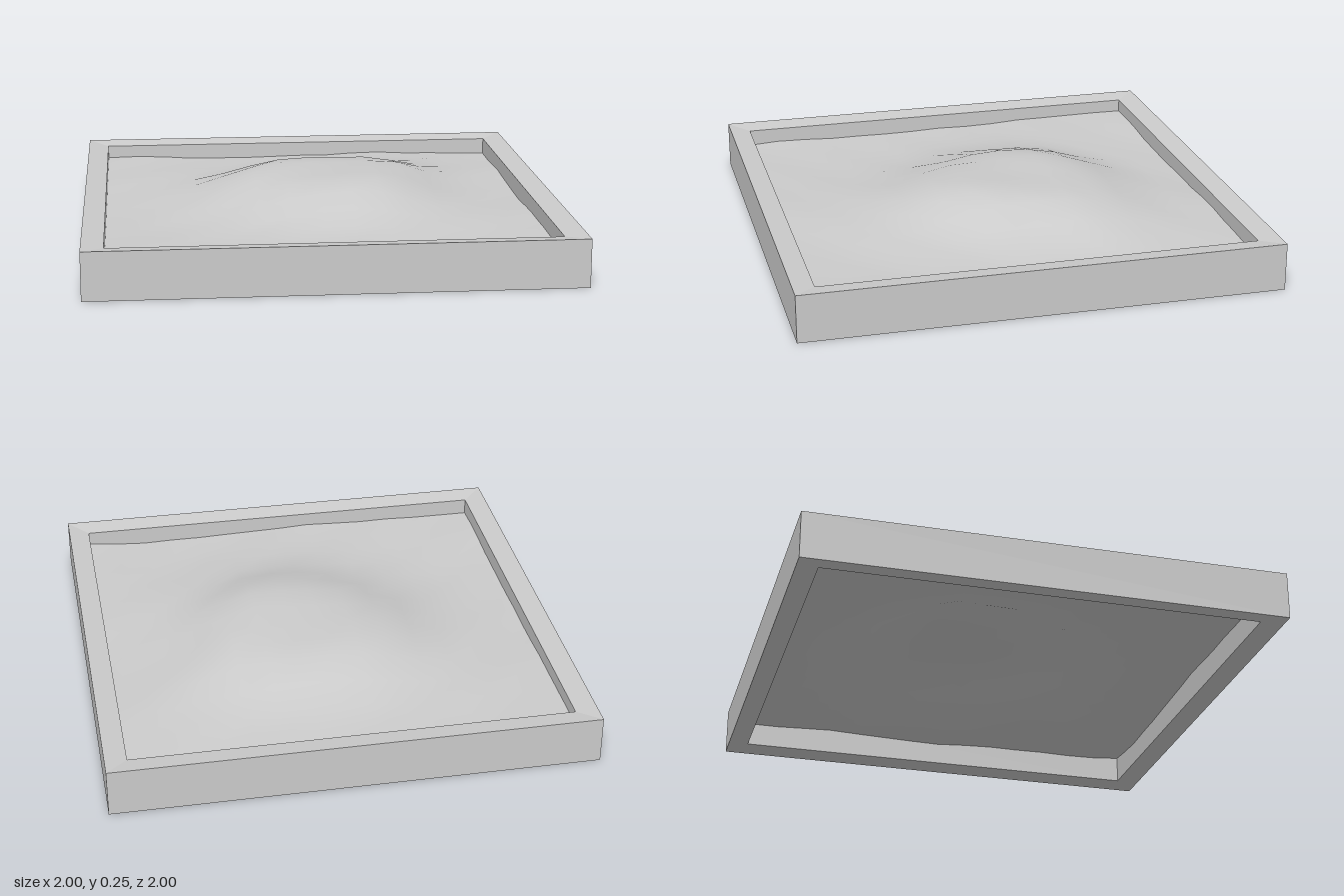
import * as THREE from 'three';

const INNER = 0.91;
const { smoothstep } = THREE.MathUtils;

// Soft heaps and hollows on the sand: x, z, radius, height
const HEAPS = [
  [0.27, 0.12, 0.24, 0.022],
  [-0.14, -0.36, 0.25, 0.012],
  [0.4, -0.3, 0.18, 0.014],
  [0.62, -0.42, 0.25, 0.014],
  [-0.75, -0.65, 0.3, 0.012],
  [-0.72, -0.2, 0.25, -0.01],
  [-0.95, -0.95, 0.2, 0.015],
  [0.95, 0.95, 0.2, 0.012],
];

// Height of the sand: small ripples plus one broad, uneven mound with heaps
function sandHeight(x, z) {
  const dx = (x - 0.06) / 0.41, dz = (z + 0.1) / 0.425;
  const r = Math.hypot(dx, dz) * (1 + 0.05 * Math.sin(3 * Math.atan2(dz, dx) + 0.5));
  const mound = 1 - 0.6 * smoothstep(r, 0.6, 1.5) - 0.4 * smoothstep(r, 0.6, 2.3);
  const ripples = 0.005 * Math.sin(5.2 * x + 1.6 * z + 0.6)
    + 0.005 * Math.sin(6.1 * z - 2.3 * x + 1.2)
    + 0.004 * Math.sin(15 * x + 4 * z) * Math.cos(13 * z - 3 * x);
  let y = 0.118 + 0.113 * mound + ripples * (1 - 0.6 * mound);
  for (const [cx, cz, radius, height] of HEAPS) {
    y += height * Math.exp(-((x - cx) ** 2 + (z - cz) ** 2) / radius ** 2);
  }
  return y;
}

export function createModel() {
  const model = new THREE.Group();
  model.name = 'sandbox';

  // Square mitred frame, its top and bottom sloping slightly towards the inside
  const profile = [[INNER, 0.012], [1, 0], [1, 0.2], [INNER, 0.188], [INNER, 0.012]]
    .map(([r, y]) => new THREE.Vector2(r * Math.SQRT2, y));
  const frameGeometry = new THREE.LatheGeometry(profile, 4);
  frameGeometry.rotateY(Math.PI / 4);
  const frame = new THREE.Mesh(frameGeometry,
    new THREE.MeshStandardMaterial({ color: 0xcccccc, flatShading: true }));
  frame.name = 'frame';
  model.add(frame);

  // Open, coarse sand sheet spanning the inside of the frame
  const sandGeometry = new THREE.PlaneGeometry(INNER * 2, INNER * 2, 14, 14);
  sandGeometry.rotateX(-Math.PI / 2);
  const p = sandGeometry.attributes.position;
  for (let i = 0; i < p.count; i++) p.setY(i, sandHeight(p.getX(i), p.getZ(i)));
  sandGeometry.computeVertexNormals();
  const sand = new THREE.Mesh(sandGeometry,
    new THREE.MeshStandardMaterial({ color: 0xcccccc, side: THREE.DoubleSide }));
  sand.name = 'sand';
  model.add(sand);

  return model;
}
